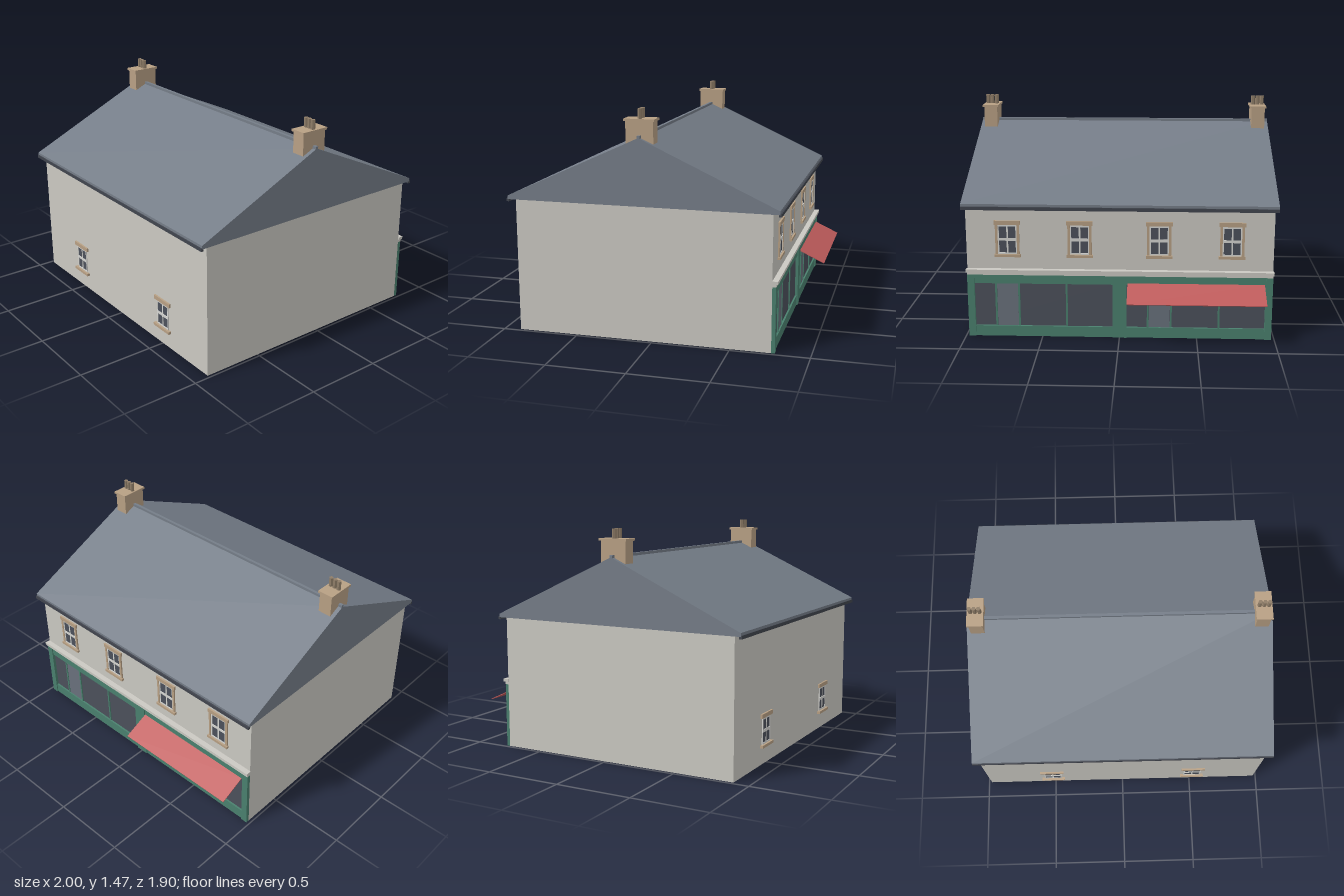
import * as THREE from 'three';

const mat = (name, color) => {
  const m = new THREE.MeshStandardMaterial({ color });
  m.name = name;
  return m;
};

export function createModel() {
  const M = {
    wall: mat('render', 0xcbc9c2),
    roof: mat('slate', 0x757d88),
    stone: mat('sandstone', 0xb8a084),
    gutter: mat('gutter', 0x41454e),
    green: mat('shop paint', 0x4a806e),
    glass: mat('dark glass', 0x4c515b),
    door: mat('door glass', 0x69717c),
    frame: mat('window frame', 0xd6d6d2),
    awning: mat('awning', 0xc05c5c),
    pot: mat('chimney pot', 0x8f7d68),
  };
  const model = new THREE.Group();
  model.name = 'shopBuilding';

  // box given by its limits on each axis
  const box = (parent, name, m, x0, x1, y0, y1, z0, z1) => {
    const mesh = new THREE.Mesh(new THREE.BoxGeometry(x1 - x0, y1 - y0, z1 - z0), m);
    mesh.position.set((x0 + x1) / 2, (y0 + y1) / 2, (z0 + z1) / 2);
    mesh.name = name;
    parent.add(mesh);
    return mesh;
  };
  const group = (name, parent = model) => {
    const g = new THREE.Group();
    g.name = name;
    parent.add(g);
    return g;
  };

  const FRONT = 0.893, BACK = -0.757, RIDGE = 0.07;

  box(model, 'walls', M.wall, -0.98, 0.98, 0, 0.87, BACK, FRONT);

  // gabled roof, profile drawn in z and y, run along x
  const profile = new THREE.Shape([
    [-0.8, 0.87], [0.94, 0.87], [0.94, 0.893], [RIDGE, 1.292], [-0.8, 0.893],
  ].map(([z, y]) => new THREE.Vector2(z, y)));
  const roofGeo = new THREE.ExtrudeGeometry(profile, { depth: 2, bevelEnabled: false });
  roofGeo.rotateY(-Math.PI / 2).translate(1, 0, 0);
  const roof = new THREE.Mesh(roofGeo, M.roof);
  roof.name = 'roof';
  model.add(roof);
  box(model, 'ridgeTiles', M.roof, -1, 1, 1.28, 1.305, RIDGE - 0.01, RIDGE + 0.01);
  box(model, 'frontGutter', M.gutter, -1, 1, 0.856, 0.877, 0.93, 0.946);
  box(model, 'backGutter', M.gutter, -1, 1, 0.856, 0.877, -0.81, -0.792);

  // chimneys with three pots each
  for (const s of [-1, 1]) {
    const c = group(s < 0 ? 'rightChimney' : 'leftChimney');
    c.position.set(s * 0.928, 0, RIDGE);
    box(c, 'chimneyStack', M.stone, -0.045, 0.045, 1.252, 1.39, -0.088, 0.088);
    box(c, 'chimneyCap', M.stone, -0.054, 0.054, 1.39, 1.405, -0.097, 0.097);
    for (const i of [-1, 0, 1]) {
      const geo = new THREE.CylinderGeometry(0.0145, 0.0145, 0.062, 6).toNonIndexed();
      geo.computeVertexNormals();
      const pot = new THREE.Mesh(geo, M.pot);
      pot.rotation.y = Math.PI / 2;
      pot.position.set(i * 0.03, 1.435, 0);
      pot.name = 'chimneyPot';
      c.add(pot);
    }
  }

  // sash window facing +z: sill, lintel, glazing bars, optional stone jambs
  const sash = (name, x, y0, y1, back) => {
    const g = group(name);
    g.position.set(x, 0, back ? BACK : FRONT);
    if (back) g.rotation.y = Math.PI;
    const mid = (y0 + y1) / 2;
    box(g, 'sill', M.stone, -0.084, 0.084, y0 - 0.018, y0, 0, back ? 0.018 : 0.02);
    box(g, 'lintel', M.stone, -0.084, 0.084, y1, y1 + 0.027, 0, 0.012);
    box(g, 'glass', M.glass, -0.056, 0.056, y0, y1, 0, 0.003);
    for (const s of [-1, 1]) {
      box(g, 'frameSide', M.frame, s * 0.057 - 0.004, s * 0.057 + 0.004, y0, y1, 0, 0.006);
      if (back) box(g, 'jamb', M.stone, s * 0.069 - 0.008, s * 0.069 + 0.008, y0, y1, 0, 0.01);
    }
    box(g, 'topRail', M.frame, -0.057, 0.057, y1 - 0.012, y1, 0, 0.006);
    box(g, 'bottomRail', M.frame, -0.057, 0.057, y0, y0 + 0.01, 0, 0.006);
    box(g, 'meetingRail', M.frame, -0.062, 0.062, mid - 0.009, mid + 0.009, 0, 0.007);
    box(g, 'glazingBar', M.frame, -0.005, 0.005, y0, y1, 0, 0.005);
  };
  for (const x of [-0.51, 0.51]) sash('frontWindow', x, 0.128, 0.298, false);
  for (const x of [-0.715, -0.253, 0.253, 0.715]) sash('backWindow', x, 0.556, 0.75, true);

  // two shopfronts along the back, each laid out from its +x end
  for (const [name, start] of [['leftShop', 0.98], ['rightShop', 0]]) {
    const shop = group(name);
    shop.position.set(start, 0, BACK);
    const part = (n, m, a, b, y0, y1, out) => box(shop, n, m, -b, -a, y0, y1, -out, 0);
    part('stallRiser', M.green, 0, 0.98, 0, 0.07, 0.016);
    part('fascia', M.green, 0, 0.98, 0.36, 0.42, 0.016);
    part('leftPilaster', M.green, 0, 0.045, 0, 0.42, 0.023);
    part('rightPilaster', M.green, 0.935, 0.98, 0, 0.42, 0.023);
    part('shopGlass', M.glass, 0.045, 0.935, 0.07, 0.36, 0.004);
    part('doorGlass', M.door, 0.19, 0.325, 0.07, 0.36, 0.007);
    for (const x of [0.183, 0.332, 0.64]) part('mullion', M.green, x - 0.006, x + 0.006, 0.07, 0.36, 0.012);
  }

  // stepped cornice above the shops
  box(model, 'corniceBand', M.wall, -0.98, 0.98, 0.42, 0.437, BACK - 0.025, BACK);
  box(model, 'corniceTop', M.wall, -0.985, 0.985, 0.437, 0.457, BACK - 0.036, BACK);

  // sloping awning over the right shop
  const dz = 0.172, dy = 0.08;
  const awning = new THREE.Mesh(new THREE.BoxGeometry(0.876, 0.005, Math.hypot(dz, dy)), M.awning);
  awning.rotation.x = -Math.atan2(dy, dz);
  awning.position.set(-0.49, 0.33, -0.862);
  awning.name = 'awning';
  model.add(awning);

  return model;
}
